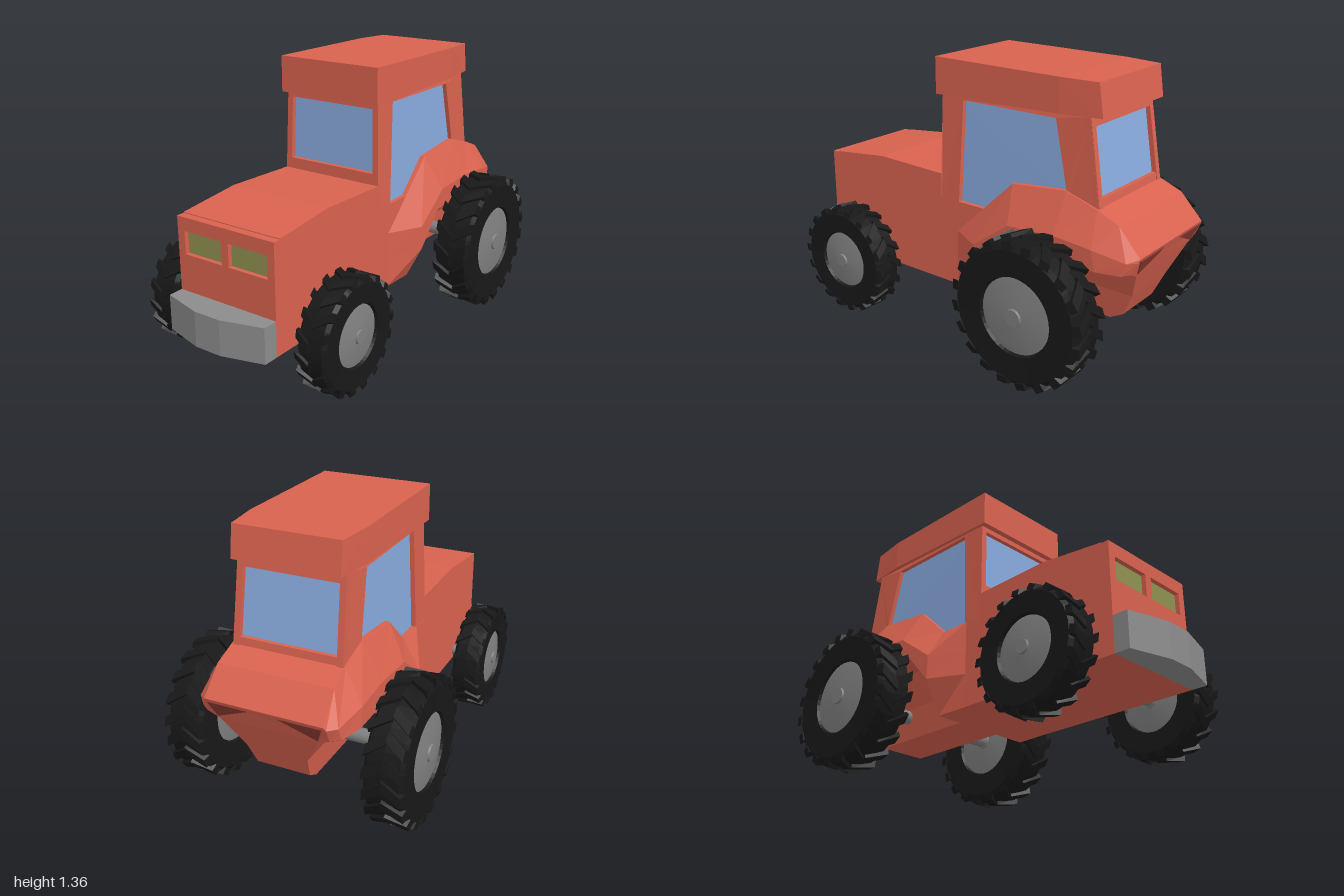
import * as THREE from 'three';
import { mergeGeometries } from 'three/addons/utils/BufferGeometryUtils.js';
import { ConvexGeometry } from 'three/addons/geometries/ConvexGeometry.js';

const mat = (color, flatShading = true) =>
  new THREE.MeshStandardMaterial({ color, flatShading, side: THREE.DoubleSide });
const RED = mat(0xd9624f), DARK_RED = mat(0x8a3a30), GLASS = mat(0x88aadd), LAMP = mat(0x8f9050);
const BUMPER = mat(0x8c8c8c), STEEL = mat(0x808080, false), RUBBER = mat(0x181818);

function add(parent, name, geometry, material, x = 0, y = 0, z = 0) {
  const mesh = new THREE.Mesh(geometry, material);
  mesh.name = name;
  mesh.position.set(x, y, z);
  parent.add(mesh);
  return mesh;
}

const toPoints = (list) => list.map(([x, y]) => new THREE.Vector2(x, y));

// Flat plate with optional holes, starting at z = 0
function plate(outline, depth, holes = []) {
  const shape = new THREE.Shape(toPoints(outline));
  for (const h of holes) shape.holes.push(new THREE.Path(toPoints(h)));
  return new THREE.ExtrudeGeometry(shape, { depth, bevelEnabled: false });
}

// Move every vertex by a rule
function warp(geometry, rule) {
  const p = geometry.attributes.position, v = new THREE.Vector3();
  for (let i = 0; i < p.count; i++) {
    rule(v.fromBufferAttribute(p, i));
    p.setXYZ(i, v.x, v.y, v.z);
  }
  geometry.computeVertexNormals();
  return geometry;
}

// Convex solid from points [x, y, half width], mirrored across z
function hull(list) {
  return new ConvexGeometry(list.flatMap(([x, y, z]) =>
    [new THREE.Vector3(x, y, z), new THREE.Vector3(x, y, -z)]));
}

// Skin over half cross-sections mirrored across z, closed at the last one
function loft(sections) {
  const n = sections[0].length * 2, pos = [], index = [];
  for (const s of sections) {
    const mirrored = s.map(([x, y, z]) => [x, y, -z]).reverse();
    pos.push(...s.flat(), ...mirrored.flat());
  }
  for (let k = 0; k < sections.length - 1; k++) {
    for (let i = 0; i < n; i++) {
      const a = k * n + i, b = k * n + (i + 1) % n;
      index.push(a, b, a + n, b, b + n, a + n);
    }
  }
  const last = (sections.length - 1) * n;
  for (let i = 1; i < n - 1; i++) index.push(last, last + i, last + i + 1);
  const g = new THREE.BufferGeometry();
  g.setAttribute('position', new THREE.Float32BufferAttribute(pos, 3));
  g.setIndex(index);
  g.computeVertexNormals();
  return g;
}

// Wheel around the z axis with a chevron tread
function wheel(name, r, w, hubR, lugs) {
  const group = new THREE.Group();
  group.name = name;
  const h = w / 2;
  const profile = [[hubR, -h + 0.03], [hubR + 0.01, -h + 0.008], [r * 0.88, -h + 0.004], [r * 0.94, -h + 0.02],
    [r * 0.95, 0], [r * 0.94, h - 0.02], [r * 0.88, h - 0.004], [hubR + 0.01, h - 0.008], [hubR, h - 0.03]];
  add(group, 'tyre', new THREE.LatheGeometry(toPoints(profile), 40).rotateX(Math.PI / 2), RUBBER);

  const bars = [];
  for (let i = 0; i < lugs; i++) {
    for (const s of [1, -1]) {
      const bar = new THREE.BoxGeometry(r * 0.14, r * 0.12, h).translate(0, r * 0.935, s * h / 2);
      warp(bar, (v) => {
        v.x += Math.abs(v.z) * 0.65;
        if (Math.abs(v.z) > h * 0.9 && v.y > r * 0.94) { v.y -= 0.006; v.z -= s * 0.006; }
      });
      bars.push(bar.rotateZ((i + (s > 0 ? 0 : 0.12)) * Math.PI * 2 / lugs));
    }
  }
  add(group, 'tread', mergeGeometries(bars), RUBBER);

  for (const s of [1, -1]) {
    const dish = [[hubR + 0.005, 0], [hubR * 0.85, 0.006], [hubR * 0.3, 0.016], [0, 0.018]];
    add(group, 'hub', new THREE.LatheGeometry(toPoints(dish), 40).rotateX(s * Math.PI / 2), STEEL, 0, 0, s * (h - 0.022));
    add(group, 'hubCap', new THREE.CylinderGeometry(hubR * 0.22, hubR * 0.24, 0.012, 20).rotateX(s * Math.PI / 2),
      STEEL, 0, 0, s * (h - 0.002));
  }
  return group;
}

export function createModel() {
  const model = new THREE.Group();
  model.name = 'tractor';

  // Engine hood and chassis
  add(model, 'hood', plate([[-0.83, 0.235], [0, 0.235], [0, 0.66], [-0.1, 0.66], [-0.1, 0.79],
    [-0.5, 0.8], [-0.83, 0.764]], 0.55), RED, 0, 0, -0.275);

  // Nose plate with recessed headlamps
  const slot = (s) => [[s * 0.02, 0.585], [s * 0.235, 0.585], [s * 0.235, 0.695], [s * 0.02, 0.695]];
  const nose = plate([[-0.275, 0.235], [0.275, 0.235], [0.275, 0.76], [-0.275, 0.76]], 0.04, [slot(1), slot(-1)]);
  add(model, 'nosePlate', nose.rotateY(Math.PI / 2), RED, -0.87);
  for (const s of [1, -1]) {
    add(model, 'headlamp', new THREE.BoxGeometry(0.02, 0.11, 0.215), LAMP, -0.838, 0.64, s * 0.1275);
  }

  // Front bumper
  const bumper = plate([[-0.87, -0.275], [-0.87, 0.275], [-0.945, 0.275], [-1, 0.07], [-1, -0.07], [-0.945, -0.275]], 0.17);
  add(model, 'bumper', bumper.rotateX(-Math.PI / 2), BUMPER, 0, 0.235);

  // Rear body with flared fenders: top edge, shoulder, lower edge, floor
  add(model, 'fenders', loft([
    [[0, 0.67, 0.275], [0, 0.52, 0.275], [0, 0.4, 0.275], [0, 0.235, 0.275]],
    [[0.16, 0.67, 0.275], [0.17, 0.52, 0.365], [0.175, 0.4, 0.365], [0.175, 0.235, 0.28]],
    [[0.16, 0.67, 0.275], [0.17, 0.52, 0.365], [0.175, 0.4, 0.365], [0.175, 0.4, 0.25]],
    [[0.33, 0.83, 0.275], [0.37, 0.665, 0.365], [0.33, 0.57, 0.365], [0.33, 0.57, 0.25]],
    [[0.62, 0.86, 0.275], [0.62, 0.68, 0.365], [0.62, 0.57, 0.365], [0.62, 0.57, 0.25]],
    [[0.78, 0.81, 0.275], [0.81, 0.665, 0.365], [0.83, 0.57, 0.365], [0.83, 0.57, 0.25]],
    [[0.89, 0.765, 0.278], [0.96, 0.63, 0.33], [0.94, 0.57, 0.335], [0.94, 0.555, 0.24]],
    [[1, 0.645, 0.283], [0.995, 0.63, 0.292], [0.97, 0.57, 0.292], [0.96, 0.54, 0.235]],
  ]), RED);

  // Gearbox under the rear body
  add(model, 'gearbox', hull([[0.99, 0.63, 0.01], [0.96, 0.54, 0.235], [0.9, 0.395, 0.15], [0.3, 0.54, 0.235],
    [0.17, 0.395, 0.15]]), RED);
  add(model, 'gearboxSump', hull([[0.9, 0.395, 0.15], [0.85, 0.285, 0.132], [0.78, 0.245, 0.125],
    [0.17, 0.245, 0.125], [0.17, 0.395, 0.15]]), RED);

  // Tail lamps, leaning with the rear panel
  for (const s of [1, -1]) {
    const lamp = plate([[s * 0.07, 0.632], [s * 0.272, 0.632], [s * 0.24, 0.555]], 0.006).rotateY(Math.PI / 2);
    add(model, 'tailLamp', warp(lamp, (v) => { v.x += 1 - (0.645 - v.y) * 0.4; }), DARK_RED);
  }

  // Cab side frames, leaning in slightly
  const sideWindow = [[0.01, 0.67], [0.16, 0.67], [0.33, 0.83], [0.62, 0.86], [0.55, 1.17], [0.035, 1.17]];
  for (const s of [1, -1]) {
    const frame = plate([[-0.1, 0.6], [0.17, 0.6], [0.6, 0.72], [0.79, 0.78], [0.722, 1.2], [-0.09, 1.2], [-0.1, 0.79]],
      0.03, [sideWindow]).translate(0, 0, s * 0.26 - 0.015);
    add(model, 'cabSide', warp(frame, (v) => {
      v.z -= s * (Math.max(0, v.y - 0.8) * 0.03 + Math.max(0, v.x - 0.57) * 0.04);
    }), RED);
  }

  // Cab front and rear frames
  const endFrame = () => plate([[-0.268, 0.76], [0.268, 0.76], [0.258, 1.2], [-0.258, 1.2]], 0.03,
    [[[-0.25, 0.845], [0.25, 0.845], [0.238, 1.155], [-0.238, 1.155]]]).rotateY(Math.PI / 2);
  add(model, 'cabFront', warp(endFrame(), (v) => { v.x += -0.1 + (v.y - 0.79) * 0.025; }), RED);
  add(model, 'cabRear', warp(endFrame(), (v) => { v.x += 0.751 - (v.y - 0.81) * 0.154; }), RED);

  // Window glass as one block inside the frames
  add(model, 'glass', hull([[-0.078, 0.65, 0.252], [-0.068, 1.19, 0.241], [0.765, 0.78, 0.252],
    [0.7, 1.19, 0.241], [0.7, 0.65, 0.252]]), GLASS);

  // Roof, narrowing toward the rear
  add(model, 'roof', hull([[-0.12, 1.18, 0.278], [-0.12, 1.357, 0.278], [0.57, 1.195, 0.278], [0.57, 1.353, 0.278],
    [0.778, 1.2, 0.256], [0.755, 1.35, 0.256]]), RED);

  // Axles and wheels
  const axles = [
    { name: 'front', x: -0.585, y: 0.28, z: 0.432, r: 0.278, w: 0.155, hub: 0.14, rod: 0.027, lugs: 18 },
    { name: 'rear', x: 0.57, y: 0.36, z: 0.49, r: 0.346, w: 0.19, hub: 0.175, rod: 0.035, lugs: 20 },
  ];
  for (const a of axles) {
    add(model, a.name + 'Axle', new THREE.CylinderGeometry(a.rod, a.rod, a.z * 2, 20).rotateX(Math.PI / 2), STEEL, a.x, a.y);
    for (const s of [1, -1]) {
      const tyre = wheel(a.name + 'Wheel', a.r, a.w, a.hub, a.lugs);
      tyre.position.set(a.x, a.y, s * a.z);
      model.add(tyre);
    }
  }
  return model;
}
